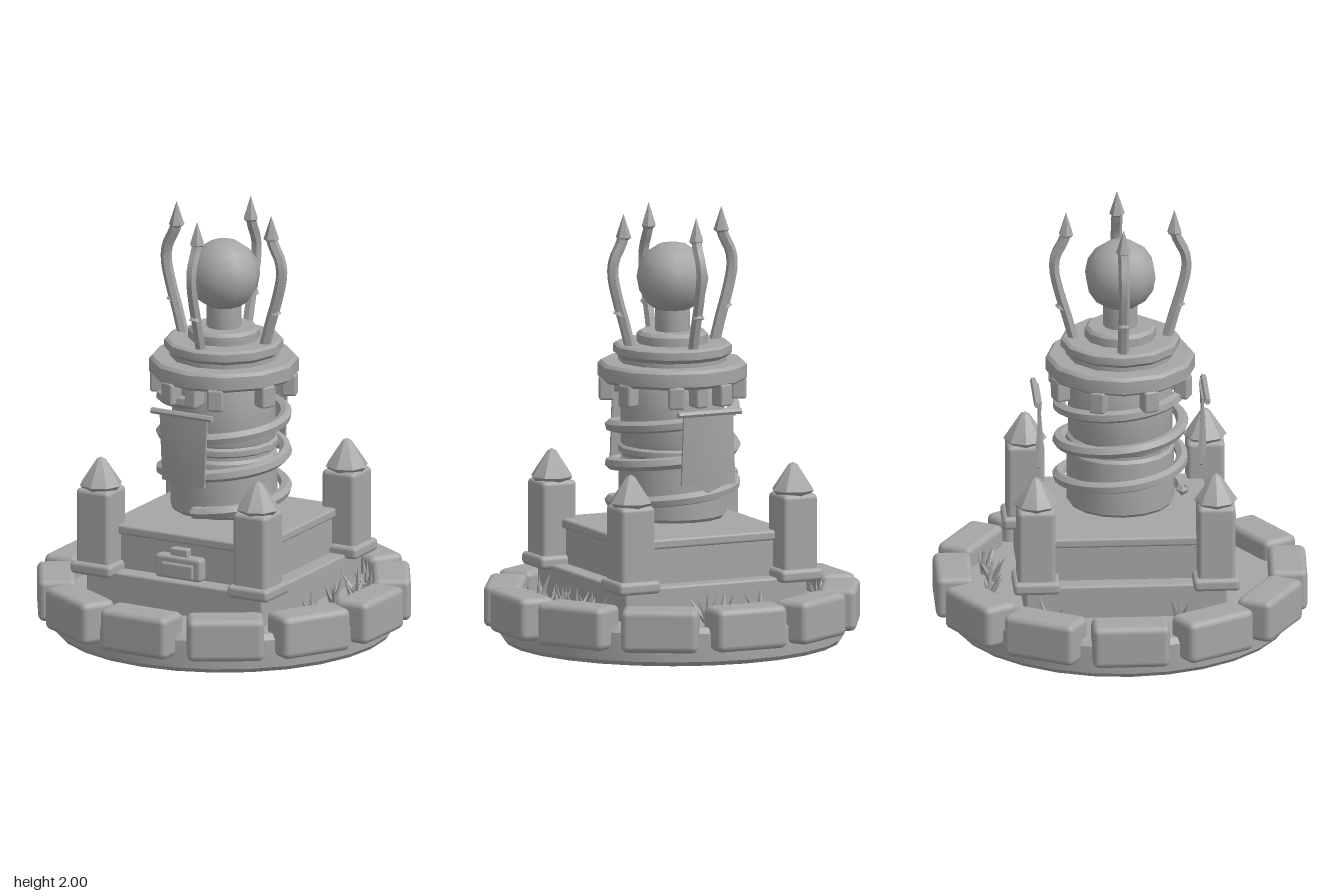
import * as THREE from 'three';
import { toCreasedNormals } from 'three/addons/utils/BufferGeometryUtils.js';
import { RoundedBoxGeometry } from 'three/addons/geometries/RoundedBoxGeometry.js';

const stone = new THREE.MeshStandardMaterial({ color: 0xa6a6a6, side: THREE.DoubleSide });
stone.name = 'stone grey';

let seed = 7;
const rand = () => (seed = (seed * 16807) % 2147483647) / 2147483647;

function add(parent, name, geometry, x = 0, y = 0, z = 0) {
  const mesh = new THREE.Mesh(geometry, stone);
  mesh.name = name;
  mesh.position.set(x, y, z);
  parent.add(mesh);
  return mesh;
}

// Rounded box given by its bottom and top heights
function block(parent, name, w, y0, y1, d, x = 0, z = 0, r = 0.012) {
  return add(parent, name, new RoundedBoxGeometry(w, y1 - y0, d, 2, r), x, (y0 + y1) / 2, z);
}

// Turned part from [radius, height] pairs
function turned(parent, name, profile, sides = 12) {
  const geo = new THREE.LatheGeometry(profile.map(([r, y]) => new THREE.Vector2(r, y)), sides);
  return add(parent, name, toCreasedNormals(geo, 0.6));
}

function tube(parent, name, curve, steps, radius) {
  return add(parent, name, toCreasedNormals(new THREE.TubeGeometry(curve, steps, radius, 6), 0.5));
}

class Helix extends THREE.Curve {
  getPoint(t, target = new THREE.Vector3()) {
    const a = t * Math.PI * 6;
    return target.set(0.285 * Math.sin(a), 0.615 + 0.525 * t, 0.285 * Math.cos(a));
  }
}

function addGround(g) {
  turned(g, 'baseDisc', [[0, 0], [0.775, 0], [0.79, 0.02], [0.79, 0.15], [0.77, 0.175], [0, 0.175]], 28);
  // Ring of rim stones
  for (let i = 0; i < 12; i++) {
    const a = (i * Math.PI) / 6;
    const s = block(g, 'rimStone', 0.355, 0.07, 0.27, 0.175, 0.77 * Math.sin(a), 0.77 * Math.cos(a), 0.03);
    s.rotation.y = a + (rand() - 0.5) * 0.06;
  }
  // Grass tufts
  const tufts = [[0.57, -0.33], [0.59, -0.21], [0.57, -0.02], [0.65, -0.07], [0.58, 0.21],
    [-0.15, -0.61], [0.03, -0.59], [0.12, -0.62], [-0.53, 0.24], [-0.56, -0.36]];
  for (const [x, z] of tufts) {
    const tuft = new THREE.Group();
    tuft.name = 'grassTuft';
    tuft.position.set(x, 0.17, z);
    g.add(tuft);
    for (let i = 0; i < 6; i++) {
      const h = 0.1 + rand() * 0.06;
      const blade = new THREE.ConeGeometry(0.018, h, 4).translate(0, h / 2, 0);
      blade.rotateX(i === 0 ? 0 : 0.25 + rand() * 0.4).rotateY(i * 1.25 + rand());
      add(tuft, 'grassBlade', toCreasedNormals(blade, 0.3));
    }
  }
}

function addPlinth(g) {
  block(g, 'lowerStep', 0.93, 0.15, 0.33, 0.93);
  block(g, 'upperStep', 0.77, 0.32, 0.51, 0.77);
  block(g, 'plinthTop', 0.81, 0.495, 0.54, 0.81);
  // Front plaque
  block(g, 'plaqueFrame', 0.24, 0.33, 0.44, 0.07, 0, 0.4, 0.015);
  block(g, 'plaquePanel', 0.17, 0.335, 0.41, 0.03, 0, 0.43);
  block(g, 'plaqueCrest', 0.09, 0.44, 0.475, 0.05, 0, 0.4, 0.006);
  // Corner turrets
  for (const x of [-0.415, 0.415]) for (const z of [-0.415, 0.415]) {
    const turret = new THREE.Group();
    turret.name = 'turret';
    turret.position.set(x, 0, z);
    g.add(turret);
    block(turret, 'turretFoot', 0.215, 0.31, 0.37, 0.215, 0, 0, 0.02);
    block(turret, 'turretBody', 0.175, 0.35, 0.715, 0.175, 0, 0, 0.022);
    turned(turret, 'turretRoof', [[0, 0.705], [0.08, 0.705], [0.1, 0.728], [0.022, 0.845], [0, 0.857]], 8);
  }
}

function addColumn(g) {
  turned(g, 'column', [[0, 0.575], [0.235, 0.575], [0.248, 0.59], [0.248, 0.84], [0.235, 0.855],
    [0.235, 0.87], [0.25, 0.88], [0.25, 0.905], [0.235, 0.915], [0.24, 0.93], [0.24, 1.18], [0.225, 1.22], [0, 1.22]], 16);
  const helix = new Helix();
  tube(g, 'spiralBand', helix, 108, 0.029);
  for (const t of [0, 1]) {
    const p = helix.getPoint(t);
    add(g, 'spiralEnd', new THREE.OctahedronGeometry(0.029), p.x, p.y, p.z);
  }
  turned(g, 'crownPlate', [[0, 1.21], [0.325, 1.21], [0.345, 1.225], [0.345, 1.285], [0.33, 1.3], [0.25, 1.3],
    [0.25, 1.32], [0.275, 1.34], [0.275, 1.375], [0.26, 1.385], [0, 1.385]], 12);
  // Corbels below the plate
  for (let i = 0; i < 8; i++) {
    const a = ((i + 0.5) * Math.PI) / 4;
    block(g, 'corbel', 0.075, 1.12, 1.225, 0.07, 0.305 * Math.sin(a), 0.305 * Math.cos(a)).rotation.y = a;
  }
  turned(g, 'orbPedestal', [[0, 1.38], [0.165, 1.38], [0.165, 1.425], [0.15, 1.44], [0.08, 1.44], [0.08, 1.56], [0, 1.56]]);
  add(g, 'orb', new THREE.SphereGeometry(0.168, 10, 8), 0, 1.685, 0);
}

// Hanging cloth on a rod; the lower edge is pointed and slightly twisted
function addBanner(g, angle) {
  const banner = new THREE.Group();
  banner.name = 'banner';
  banner.rotation.y = angle;
  g.add(banner);
  const rod = new THREE.CylinderGeometry(0.015, 0.015, 0.32, 6).rotateZ(Math.PI / 2);
  add(banner, 'bannerRod', toCreasedNormals(rod, 0.5), 0, 1.11, 0.392);
  block(banner, 'bannerBracket', 0.06, 1.12, 1.225, 0.1, 0, 0.27);
  const cloth = new THREE.BoxGeometry(0.25, 1, 0.012, 6, 6, 1);
  const p = cloth.attributes.position;
  for (let i = 0; i < p.count; i++) {
    const x = p.getX(i), t = 0.5 - p.getY(i);
    const length = 0.335 + 0.04 * Math.max(0, 1 - Math.abs(x) / 0.08);
    p.setY(i, 1.11 - t * length);
    p.setZ(i, p.getZ(i) + 0.375 + t * x * 0.2);
  }
  cloth.computeVertexNormals();
  add(banner, 'bannerCloth', cloth);
}

// Curved prongs around the orb
function addProngs(g) {
  const path = [[0.215, 1.37], [0.25, 1.5], [0.28, 1.6], [0.305, 1.72], [0.297, 1.79], [0.262, 1.86], [0.25, 1.9]];
  const curve = new THREE.CatmullRomCurve3(path.map(([r, y]) => new THREE.Vector3(r, y, 0)));
  for (let i = 0; i < 4; i++) {
    const prong = new THREE.Group();
    prong.name = 'prong';
    prong.rotation.y = (i * Math.PI) / 2;
    g.add(prong);
    tube(prong, 'prongShaft', curve, 16, 0.026);
    turned(prong, 'prongTip', [[0, 1.86], [0.036, 1.89], [0, 2]], 6).position.x = 0.25;
    const barb = add(prong, 'prongBarb', new THREE.ConeGeometry(0.03, 0.07, 5), 0.262, 1.56, 0);
    barb.rotation.z = 0.35;
  }
}

export function createModel() {
  const model = new THREE.Group();
  model.name = 'monument';
  addGround(model);
  addPlinth(model);
  addColumn(model);
  addBanner(model, 0);
  addBanner(model, Math.PI);
  addProngs(model);
  return model;
}
